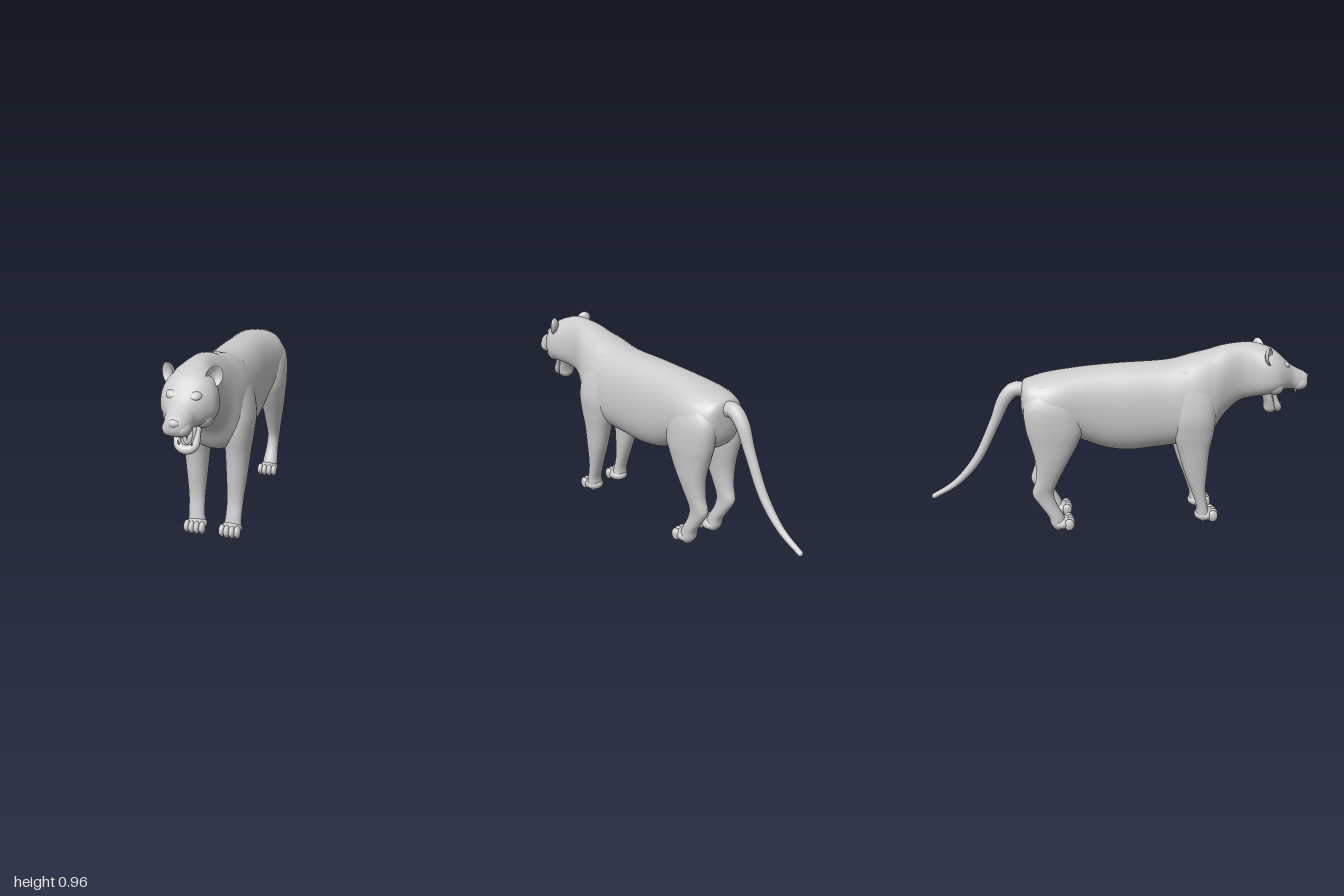
import * as THREE from 'three';

const material = new THREE.MeshStandardMaterial({ color: 0xcccccc, side: THREE.DoubleSide });
const pw = (v, e) => Math.sign(v) * Math.abs(v) ** e;

function add(parent, name, geometry, pos = [0, 0, 0], scale = [1, 1, 1], rot = [0, 0, 0]) {
  const mesh = new THREE.Mesh(geometry, material);
  mesh.name = name;
  mesh.position.set(...pos);
  mesh.scale.set(...scale);
  mesh.rotation.set(...rot);
  parent.add(mesh);
  return mesh;
}

// Catmull-Rom interpolation through a table of rows
function sample(rows, t) {
  const f = t * (rows.length - 1), i = Math.min(Math.floor(f), rows.length - 2), u = f - i;
  const at = k => rows[Math.max(0, Math.min(rows.length - 1, k))];
  return rows[0].map((_, c) => {
    const [a, b, d, e] = [at(i - 1)[c], at(i)[c], at(i + 1)[c], at(i + 2)[c]];
    return b + 0.5 * u * (d - a + u * (2 * a - 5 * b + 4 * d - e + u * (3 * (b - d) + e - a)));
  });
}

// Closed smooth skin over cross-sections; ring(row, cos, sin) gives a point
function loft(rows, steps, sides, ring) {
  const p = [], index = [];
  for (let i = 0; i <= steps; i++) {
    const row = sample(rows, i / steps);
    for (let j = 0; j < sides; j++) {
      const a = (j / sides) * Math.PI * 2;
      p.push(...ring(row, Math.cos(a), Math.sin(a)));
    }
  }
  for (let i = 0; i < steps; i++) for (let j = 0; j < sides; j++) {
    const k = (j + 1) % sides, a = i * sides + j, b = i * sides + k;
    index.push(a, b, a + sides, b, b + sides, a + sides);
  }
  // end caps
  for (const [base, flip] of [[0, true], [steps * sides, false]]) {
    const c = [0, 0, 0], n = p.length / 3;
    for (let j = 0; j < sides; j++) for (let m = 0; m < 3; m++) c[m] += p[(base + j) * 3 + m] / sides;
    p.push(...c);
    for (let j = 0; j < sides; j++) {
      const a = base + j, b = base + (j + 1) % sides;
      index.push(...(flip ? [n, b, a] : [n, a, b]));
    }
  }
  // turn the faces outward
  const v = i => new THREE.Vector3().fromArray(p, i * 3);
  let volume = 0;
  for (let i = 0; i < index.length; i += 3) volume += v(index[i]).dot(v(index[i + 1]).cross(v(index[i + 2])));
  if (volume < 0) index.reverse();
  const g = new THREE.BufferGeometry();
  g.setAttribute('position', new THREE.Float32BufferAttribute(p, 3));
  g.setIndex(index);
  g.computeVertexNormals();
  return g;
}

// Tube whose radius follows a list
function taperedTube(points, radii, steps = 40, sides = 14) {
  const curve = new THREE.CatmullRomCurve3(points.map(q => new THREE.Vector3(...q)));
  const g = new THREE.TubeGeometry(curve, steps, 1, sides), pos = g.attributes.position;
  const q = new THREE.Vector3();
  for (let i = 0; i < pos.count; i++) {
    const t = Math.floor(i / (sides + 1)) / steps, c = curve.getPointAt(t);
    q.fromBufferAttribute(pos, i).sub(c).multiplyScalar(sample(radii.map(r => [r]), t)[0]).add(c);
    pos.setXYZ(i, q.x, q.y, q.z);
  }
  g.computeVertexNormals();
  return g;
}

// z, top, bottom, half width, height of the widest point
const BODY = [
  [-0.512, 0.73, 0.66, 0.02, 0.7], [-0.5, 0.795, 0.6, 0.09, 0.7], [-0.46, 0.815, 0.55, 0.135, 0.68],
  [-0.36, 0.838, 0.51, 0.162, 0.67], [-0.22, 0.858, 0.485, 0.148, 0.66], [-0.1, 0.868, 0.435, 0.145, 0.64],
  [0.03, 0.874, 0.41, 0.15, 0.64], [0.18, 0.877, 0.42, 0.156, 0.64], [0.28, 0.885, 0.43, 0.165, 0.64],
  [0.38, 0.91, 0.43, 0.165, 0.65], [0.46, 0.928, 0.46, 0.145, 0.68], [0.53, 0.948, 0.565, 0.115, 0.76],
  [0.61, 0.96, 0.645, 0.092, 0.79], [0.68, 0.96, 0.67, 0.1, 0.79], [0.74, 0.947, 0.68, 0.123, 0.785],
  [0.8, 0.922, 0.69, 0.125, 0.785], [0.85, 0.88, 0.705, 0.1, 0.78], [0.9, 0.835, 0.705, 0.067, 0.765],
  [0.945, 0.808, 0.7, 0.058, 0.745], [0.98, 0.79, 0.71, 0.044, 0.745], [0.996, 0.765, 0.735, 0.014, 0.75],
];
// height, front z, back z, inner x, outer x
const FRONT_LEG = [
  [0.85, 0.38, 0.28, 0.07, 0.11], [0.75, 0.46, 0.25, 0.04, 0.158], [0.62, 0.478, 0.25, 0.035, 0.185],
  [0.52, 0.476, 0.26, 0.038, 0.178], [0.42, 0.458, 0.29, 0.043, 0.165], [0.3, 0.45, 0.325, 0.05, 0.153],
  [0.18, 0.445, 0.37, 0.057, 0.14], [0.09, 0.46, 0.4, 0.055, 0.135], [0.04, 0.47, 0.402, 0.048, 0.135],
  [0.004, 0.455, 0.42, 0.065, 0.12],
];
const HIND_LEG = [
  [0.8, -0.32, -0.43, 0.05, 0.11], [0.7, -0.24, -0.5, 0.02, 0.165], [0.58, -0.205, -0.497, 0.02, 0.176],
  [0.49, -0.232, -0.475, 0.03, 0.17], [0.39, -0.285, -0.453, 0.047, 0.16], [0.29, -0.335, -0.455, 0.058, 0.143],
  [0.215, -0.362, -0.475, 0.064, 0.13], [0.15, -0.35, -0.44, 0.063, 0.128], [0.08, -0.315, -0.395, 0.055, 0.133],
  [0.035, -0.305, -0.385, 0.05, 0.133], [0.004, -0.32, -0.365, 0.065, 0.12],
];

const ball = new THREE.SphereGeometry(1, 24, 16);
const spike = new THREE.ConeGeometry(1, 1, 10);

function addLeg(parent, name, rows, side, pawZ) {
  const leg = new THREE.Group();
  leg.name = name;
  add(leg, 'limb', loft(rows, 44, 28, ([y, f, b, i, o], c, s) => [
    side * ((i + o) / 2 + (o - i) / 2 * pw(c, 0.9)), y, (f + b) / 2 + (f - b) / 2 * pw(s, 0.9)]));
  add(leg, 'paw', ball, [side * 0.09, 0.036, pawZ], [0.052, 0.035, 0.058]);
  for (let k = -1.5; k < 2; k++) {
    const x = side * 0.09 + k * 0.026, z = pawZ + 0.046 - Math.abs(k) * 0.006;
    add(leg, 'toe', ball, [x, 0.035, z], [0.0165, 0.033, 0.026]);
    add(leg, 'claw', spike, [x, 0.022, z + 0.026], [0.005, 0.022, 0.005], [2.2, 0, 0]);
  }
  parent.add(leg);
}

// Ear shell: a ball with its front pushed in
function earGeometry() {
  const g = new THREE.SphereGeometry(1, 28, 20), pos = g.attributes.position;
  for (let i = 0; i < pos.count; i++) {
    const z = pos.getZ(i);
    if (z > 0) pos.setZ(i, 0.6 * z - 1.1 * z * z);
  }
  g.computeVertexNormals();
  return g;
}

export function createModel() {
  const model = new THREE.Group();
  model.name = 'bigCat';

  add(model, 'bodyAndHead', loft(BODY, 120, 48, ([z, t, b, w, m], c, s) => [
    w * pw(c, 0.85), m + (s > 0 ? t - m : m - b) * pw(s, 0.9), z]));

  add(model, 'tail', taperedTube(
    [[0, 0.745, -0.47], [0, 0.762, -0.535], [0, 0.715, -0.59], [0, 0.585, -0.65], [0, 0.38, -0.755],
      [0, 0.255, -0.87], [0, 0.188, -0.985]],
    [0.04, 0.036, 0.028, 0.025, 0.023, 0.018, 0.014]));
  add(model, 'tailTip', ball, [0, 0.188, -0.985], [0.014, 0.014, 0.014]);

  // Face
  const head = new THREE.Group();
  head.name = 'headDetails';
  model.add(head);
  add(head, 'nose', ball, [0, 0.768, 0.982], [0.026, 0.018, 0.018]);
  const ear = earGeometry();
  for (const s of [1, -1]) {
    add(head, 'ear', ear, [s * 0.104, 0.908, 0.755], [0.038, 0.048, 0.026], [-0.1, s * 0.55, -s * 0.3]);
    add(head, 'muzzlePad', ball, [s * 0.028, 0.737, 0.945], [0.034, 0.036, 0.045]);
    add(head, 'brow', ball, [s * 0.05, 0.848, 0.855], [0.03, 0.018, 0.024], [0.5, s * 0.4, 0]);
    add(head, 'eye', ball, [s * 0.052, 0.818, 0.877], [0.017, 0.011, 0.013], [0, s * 0.5, 0]);
    add(head, 'cheek', ball, [s * 0.07, 0.745, 0.8], [0.045, 0.052, 0.05]);
    add(head, 'upperFang', spike, [s * 0.035, 0.693, 0.925], [0.008, 0.04, 0.008], [Math.PI, 0, 0]);
    add(head, 'lowerFang', spike, [s * 0.03, 0.63, 0.85], [0.007, 0.034, 0.007], [0.5, 0, 0]);
  }
  for (let k = -2; k <= 2; k++) add(head, 'incisor', spike, [k * 0.01, 0.7, 0.95], [0.005, 0.014, 0.005], [Math.PI, 0, 0]);

  // Open lower jaw: height, front z, back z, half width
  const jaw = new THREE.Group();
  jaw.name = 'lowerJaw';
  model.add(jaw);
  add(jaw, 'jawBack', loft(
    [[0.725, 0.8, 0.74, 0.05], [0.68, 0.805, 0.755, 0.053], [0.63, 0.82, 0.768, 0.05],
      [0.595, 0.835, 0.77, 0.042], [0.576, 0.82, 0.785, 0.022]],
    20, 24, ([y, f, b, w], c, s) => [w * c, y, (f + b) / 2 + (f - b) / 2 * s]));
  add(jaw, 'jawRim', taperedTube(
    [[0.052, 0.715, 0.8], [0.047, 0.66, 0.817], [0.036, 0.612, 0.836], [0, 0.598, 0.844],
      [-0.036, 0.612, 0.836], [-0.047, 0.66, 0.817], [-0.052, 0.715, 0.8]],
    [0.011, 0.012, 0.018, 0.021, 0.018, 0.012, 0.011]));
  add(jaw, 'tongue', ball, [0, 0.66, 0.815], [0.024, 0.045, 0.012], [-0.25, 0, 0]);

  for (const s of [1, -1]) {
    const label = s > 0 ? 'left' : 'right';
    addLeg(model, label + 'FrontLeg', FRONT_LEG, s, 0.45);
    addLeg(model, label + 'HindLeg', HIND_LEG, s, -0.325);
  }
  return model;
}
